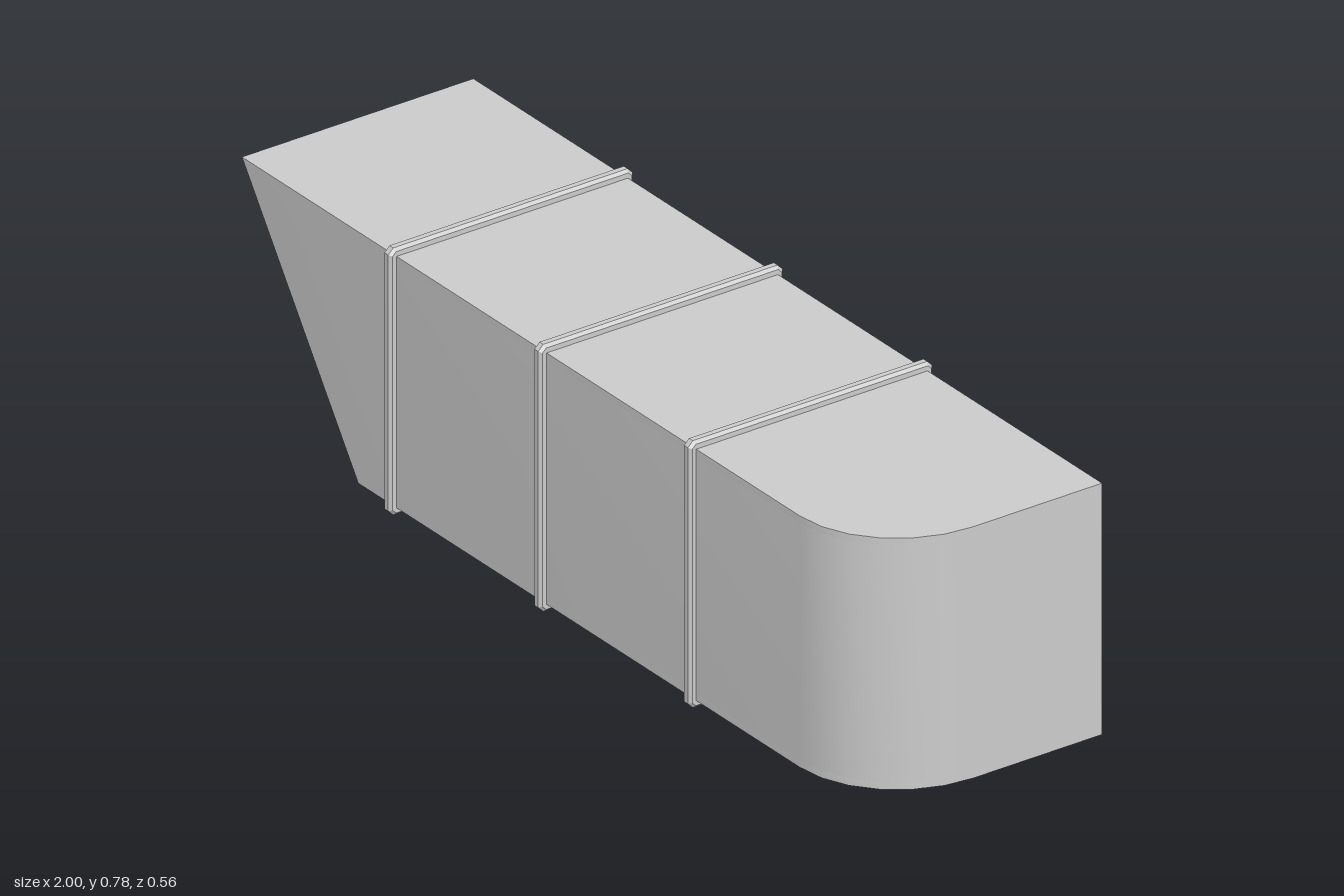
import * as THREE from 'three';
import { toCreasedNormals } from 'three/addons/utils/BufferGeometryUtils.js';

const BOTTOM = 0.235, TOP = 0.766, HALF = 0.267, WALL = 0.014;
const material = new THREE.MeshStandardMaterial({ color: 0xcccccc, side: THREE.DoubleSide });

function addMesh(parent, name, geometry) {
  const mesh = new THREE.Mesh(geometry, material);
  mesh.name = name;
  parent.add(mesh);
}

// Plan outline (x, z) from the open end along the front, round the corner, and back
function outline(inset) {
  const pts = [new THREE.Vector2(-1, HALF - inset)];
  const steps = 6, cx = 0.775, cz = 0.03;
  for (let i = 0; i <= steps; i++) {
    const a = (Math.PI / 2) * (1 - i / steps);
    pts.push(new THREE.Vector2(
      cx + Math.cos(a) * (1 - cx - inset),
      cz + Math.sin(a) * (HALF - cz - inset)));
  }
  pts.push(new THREE.Vector2(1 - inset, -HALF + inset), new THREE.Vector2(-1, -HALF + inset));
  return pts;
}

// Extrude a plan upright between two heights, then slant its open end
function upright(points, y0, y1) {
  const g = new THREE.ExtrudeGeometry(new THREE.Shape(points), { depth: y1 - y0, bevelEnabled: false });
  g.rotateX(Math.PI / 2).translate(0, y1, 0);
  const p = g.attributes.position;
  for (let i = 0; i < p.count; i++) {
    if (p.getX(i) < -0.95) p.setX(i, -1 + 0.37 * (TOP - p.getY(i)) / (TOP - BOTTOM));
  }
  return toCreasedNormals(g, 0.6);
}

// Extrude a (z, y) profile across x, centred on x = 0
function across(shape, width, bevel = 0) {
  const g = new THREE.ExtrudeGeometry(shape, {
    depth: width - 2 * bevel, bevelEnabled: bevel > 0,
    bevelSize: bevel, bevelThickness: bevel, bevelSegments: 1,
  });
  return g.rotateY(-Math.PI / 2).translate(width / 2 - bevel, 0, 0);
}

// Square outline with clipped corners
function clippedSquare(h, c) {
  return [[h, h - c], [h - c, h], [c - h, h], [-h, h - c], [-h, c - h], [c - h, -h], [h - c, -h], [h, c - h]]
    .map(([x, y]) => new THREE.Vector2(x, y));
}

export function createModel() {
  const group = new THREE.Group();
  group.name = 'duct';

  // Hollow casing, open at the slanted end
  const casing = new THREE.Group();
  casing.name = 'casing';
  group.add(casing);
  addMesh(casing, 'roof', upright(outline(0), TOP - WALL, TOP));
  addMesh(casing, 'floor', upright(outline(0), BOTTOM, BOTTOM + WALL));
  addMesh(casing, 'sideWalls',
    upright([...outline(0), ...outline(WALL).reverse()], BOTTOM + WALL, TOP - WALL));

  // Reinforcing bands around the casing
  const ring = new THREE.Shape(clippedSquare(0.276, 0.008));
  ring.holes.push(new THREE.Path(clippedSquare(0.260, 0.002).reverse()));
  const bandGeometry = across(ring, 0.024, 0.006).translate(0, (TOP + BOTTOM) / 2, 0);
  [-0.52, -0.043, 0.433].forEach((x, i) => {
    addMesh(group, 'band' + (i + 1), bandGeometry.clone().translate(x, 0, 0));
  });

  // Slanting support struts reaching down towards the back
  const strut = new THREE.Shape([[0.012, 0.24], [-0.027, 0.24], [-0.27, 0.025], [-0.27, 0]]
    .map(([z, y]) => new THREE.Vector2(z, y)));
  for (const side of [-1, 1]) {
    addMesh(group, side > 0 ? 'leftStrut' : 'rightStrut', across(strut, 0.024).translate(side * 0.479, 0, 0));
  }
  return group;
}
